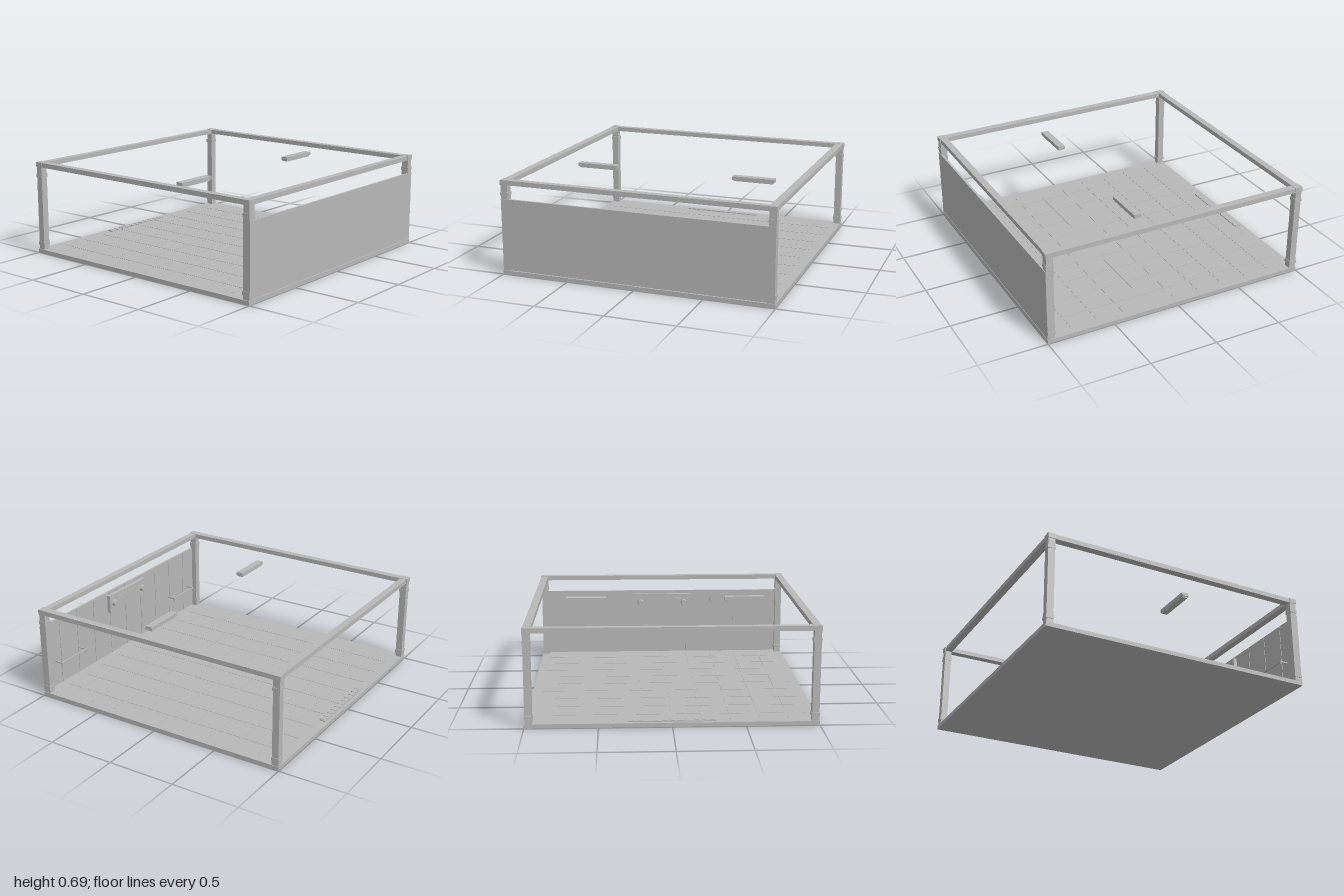
import * as THREE from 'three';

export function createModel() {
  const model = new THREE.Group();
  model.name = 'openBooth';
  const grey = new THREE.MeshStandardMaterial({ color: 0xb8b8b8 });
  grey.name = 'light grey';

  const add = (name, geometry, x, y, z) => {
    const mesh = new THREE.Mesh(geometry, grey);
    mesh.name = name;
    mesh.position.set(x, y, z);
    model.add(mesh);
    return mesh;
  };
  // box given by its minimum and maximum corners
  const box = (name, x0, x1, y0, y1, z0, z1) =>
    add(name, new THREE.BoxGeometry(x1 - x0, y1 - y0, z1 - z0),
      (x0 + x1) / 2, (y0 + y1) / 2, (z0 + z1) / 2);

  // floor slab with thin tile joints
  box('floor', -1, 1, 0, 0.03, -1, 1);
  for (let i = -4; i <= 4; i++) {
    const p = i * 0.2;
    box('tileJointLengthwise', p - 0.004, p + 0.004, 0.029, 0.032, -0.93, 0.93);
    box('tileJointCrosswise', -0.93, 0.93, 0.029, 0.032, p - 0.004, p + 0.004);
  }

  // corner posts with collars near both ends
  for (const sx of [-1, 1]) for (const sz of [-1, 1]) {
    const x = sx * 0.97, z = sz * 0.97;
    add('cornerPost', new THREE.BoxGeometry(0.05, 0.65, 0.05), x, 0.345, z);
    for (const y of [0.075, 0.59]) {
      add('postCollar', new THREE.BoxGeometry(0.058, 0.025, 0.058), x, y, z);
    }
    add('cornerCap', new THREE.BoxGeometry(0.058, 0.036, 0.058), x, 0.673, z);
  }

  // top frame
  for (const s of [-1, 1]) {
    add('sideBeam', new THREE.BoxGeometry(0.055, 0.034, 1.9), s * 0.968, 0.672, 0);
    add('crossBeam', new THREE.BoxGeometry(1.9, 0.034, 0.05), 0, 0.672, s * 0.968);
  }

  // front panel with vertical seams on the inner face
  box('frontPanel', -0.995, 0.995, 0.035, 0.555, 0.984, 1);
  for (let i = -4; i <= 4; i++) {
    box('panelSeam', i * 0.2 - 0.003, i * 0.2 + 0.003, 0.035, 0.55, 0.981, 0.985);
  }

  // control board with two round knobs and a slot strip
  box('controlBoard', -0.23, 0.23, 0.39, 0.53, 0.955, 0.985);
  box('boardStrip', -0.15, 0.15, 0.49, 0.497, 0.951, 0.956);
  for (const s of [-1, 1]) {
    const knob = add('knob', new THREE.CylinderGeometry(0.02, 0.025, 0.022, 20), s * 0.18, 0.462, 0.945);
    knob.rotation.x = -Math.PI / 2;
  }

  // rails on the inside of the panel and lamps below the top frame
  for (const s of [-1, 1]) {
    add('wallRail', new THREE.BoxGeometry(0.29, 0.012, 0.01), s * 0.725, 0.228, 0.925);
    for (const e of [-1, 1]) {
      add('railBracket', new THREE.BoxGeometry(0.008, 0.01, 0.06), s * 0.725 + e * 0.14, 0.228, 0.955);
      add('railHook', new THREE.BoxGeometry(0.008, 0.026, 0.008), s * 0.725 + e * 0.14, 0.215, 0.925);
    }
    add('lampHousing', new THREE.BoxGeometry(0.31, 0.026, 0.054), s * 0.605, 0.645, 0.198);
    add('lampLens', new THREE.BoxGeometry(0.29, 0.012, 0.042), s * 0.605, 0.629, 0.198);
  }

  // slotted drain cover along the back edge
  box('drainCover', -0.3, 0.3, 0.029, 0.037, -0.975, -0.935);
  for (let i = 0; i < 11; i++) {
    const x = -0.275 + i * 0.055;
    box('drainSlat', x - 0.018, x + 0.018, 0.032, 0.04, -0.97, -0.928);
  }
  return model;
}
